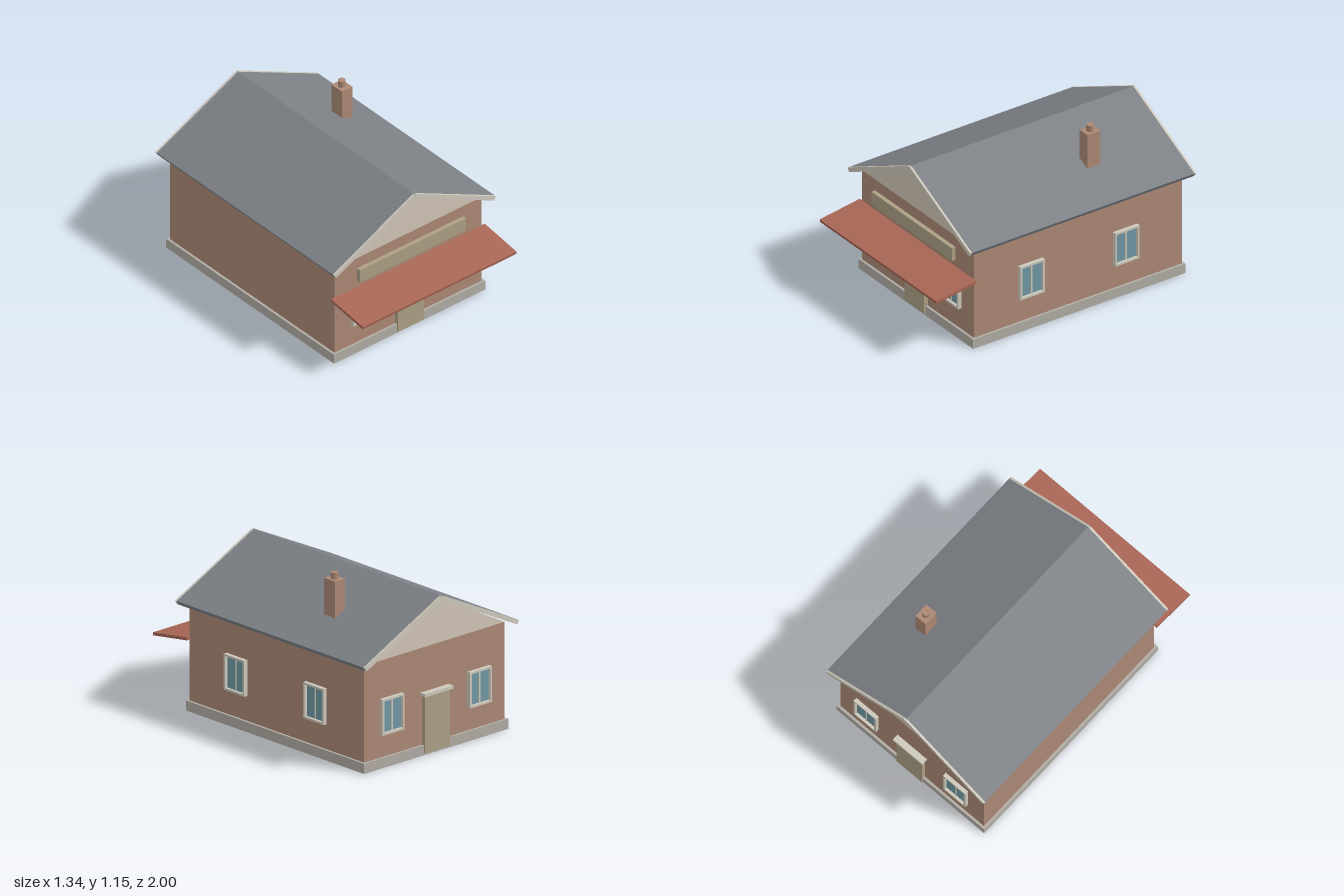
import * as THREE from 'three';

const mat = (color) => new THREE.MeshStandardMaterial({ color, flatShading: true });
const M = {
  brick: mat(0xab8874), stone: mat(0xb0aca4), roof: mat(0x7d8186), trim: mat(0xcdc8bb),
  gable: mat(0xcfc5b5), door: mat(0xaca084), glass: mat(0x7098a4), awning: mat(0xa86656),
};

const FRONT = 0.69, BACK = -0.93, SIDE = 0.61; // wall planes

function add(parent, name, geometry, material, x = 0, y = 0, z = 0) {
  const mesh = new THREE.Mesh(geometry, material);
  mesh.name = name;
  mesh.position.set(x, y, z);
  parent.add(mesh);
  return mesh;
}

// Box given by its limits on each axis
function box(parent, name, material, [x0, x1], [y0, y1], [z0, z1]) {
  return add(parent, name, new THREE.BoxGeometry(x1 - x0, y1 - y0, z1 - z0), material,
    (x0 + x1) / 2, (y0 + y1) / 2, (z0 + z1) / 2);
}

// Outline in x/y extruded between two z values
function prism(parent, name, material, points, z0, z1) {
  const shape = new THREE.Shape(points.map(([x, y]) => new THREE.Vector2(x, y)));
  const geometry = new THREE.ExtrudeGeometry(shape, { depth: z1 - z0, bevelEnabled: false });
  return add(parent, name, geometry, material, 0, 0, z0);
}

// Two-pane window facing +z, its origin on the wall at the window's centre
function makeWindow() {
  const g = new THREE.Group();
  g.name = 'window';
  const w = 0.095, h = 0.121, b = 0.014;
  const outer = new THREE.Shape([[-w, -h], [w, -h], [w, h], [-w, h]].map((p) => new THREE.Vector2(...p)));
  const iw = w - b, ih = h - b;
  outer.holes.push(new THREE.Path([[-iw, -ih], [-iw, ih], [iw, ih], [iw, -ih]].map((p) => new THREE.Vector2(...p))));
  add(g, 'windowFrame', new THREE.ExtrudeGeometry(outer, { depth: 0.027, bevelEnabled: false }), M.trim);
  box(g, 'windowGlass', M.glass, [-iw, iw], [-ih, ih], [-0.005, 0.008]);
  box(g, 'windowMullion', M.trim, [-0.005, 0.005], [-ih, ih], [0, 0.014]);
  return g;
}

// Door with lintel facing +z, its origin on the wall at floor level
function makeDoor() {
  const g = new THREE.Group();
  g.name = 'entrance';
  box(g, 'door', M.door, [-0.107, 0.107], [0.015, 0.4], [-0.005, 0.028]);
  box(g, 'doorLintel', M.trim, [-0.124, 0.124], [0.4, 0.421], [-0.005, 0.045]);
  return g;
}

export function createModel() {
  const house = new THREE.Group();
  house.name = 'house';

  // Body
  box(house, 'plinth', M.stone, [-0.627, 0.627], [0, 0.068], [BACK - 0.017, FRONT + 0.017]);
  box(house, 'walls', M.brick, [-SIDE, SIDE], [0.068, 0.72], [BACK, FRONT]);
  prism(house, 'gable', M.gable, [[-SIDE, 0.72], [SIDE, 0.72], [0, 1.04]], BACK, FRONT);

  // Roof slab, with pale bargeboards notched at the ridge
  const eaveRight = [[0, 1.03], [0.655, 0.709], [0.67, 0.736]];
  const eaveLeft = [[-0.67, 0.736], [-0.655, 0.709]];
  prism(house, 'roof', M.roof, [...eaveRight, [0, 1.06], ...eaveLeft], -0.985, 0.745);
  const board = [...eaveRight, [0.007, 1.06], [0, 1.048], [-0.007, 1.06], ...eaveLeft];
  prism(house, 'frontBargeboard', M.trim, board, 0.745, 0.76);
  prism(house, 'backBargeboard', M.trim, board, -1, -0.985);

  // Chimney
  box(house, 'chimney', M.brick, [0.32, 0.406], [0.8, 1.11], [-0.443, -0.34]);
  add(house, 'chimneyPot', new THREE.CylinderGeometry(0.025, 0.025, 0.045, 24),
    new THREE.MeshStandardMaterial({ color: 0xab8874 }), 0.363, 1.131, -0.392);

  // Sloping awning and sign board on the front
  const awning = add(house, 'awning', new THREE.BoxGeometry(1.274, 0.02, 0.316), M.awning, 0, 0.465, 0.844);
  awning.rotation.x = 0.148;
  box(house, 'signBoard', M.door, [-0.44, 0.44], [0.567, 0.66], [0.71, 0.74]);

  // Doors and windows, alike on front and back
  for (const [z, turn] of [[FRONT, 0], [BACK, Math.PI]]) {
    const wall = new THREE.Group();
    wall.name = turn ? 'backOpenings' : 'frontOpenings';
    wall.position.z = z;
    wall.rotation.y = turn;
    wall.add(makeDoor());
    for (const x of [-0.38, 0.38]) {
      const win = makeWindow();
      win.position.set(x, 0.342, 0);
      wall.add(win);
    }
    house.add(wall);
  }

  // Windows on the +x wall only
  for (const z of [0.25, -0.487]) {
    const win = makeWindow();
    win.position.set(SIDE, 0.357, z);
    win.rotation.y = Math.PI / 2;
    house.add(win);
  }
  return house;
}
